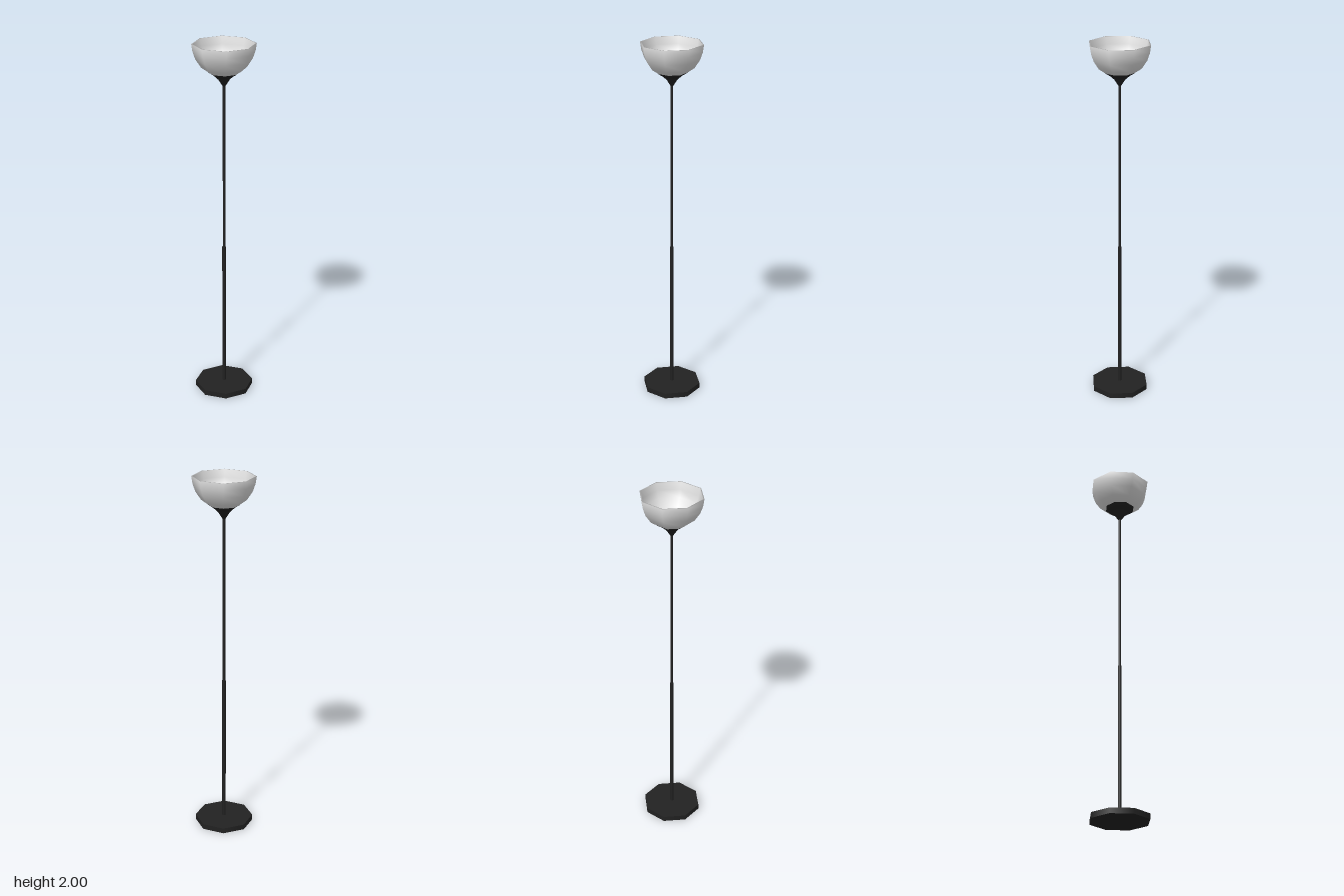
import * as THREE from 'three';

const SIDES = 8;

export function createModel() {
  const lamp = new THREE.Group();
  lamp.name = 'floorLamp';

  const black = new THREE.MeshStandardMaterial({ color: 0x222222 });
  black.name = 'black metal';
  const white = new THREE.MeshStandardMaterial({ color: 0xe0e0e0 });
  white.name = 'white glass';

  const add = (name, geometry, material, y = 0) => {
    const mesh = new THREE.Mesh(geometry, material);
    mesh.name = name;
    mesh.position.y = y;
    lamp.add(mesh);
  };
  // upright octagonal cylinder between two heights
  const rod = (name, radius, y0, y1) =>
    add(name, new THREE.CylinderGeometry(radius, radius, y1 - y0, SIDES), black, (y0 + y1) / 2);
  // octagonal turned part from [radius, height] pairs
  const turned = (name, profile, material) =>
    add(name, new THREE.LatheGeometry(profile.map(([r, y]) => new THREE.Vector2(r, y)), SIDES), material);

  // foot and two-stage pole
  rod('base', 0.162, 0, 0.03);
  rod('lowerPole', 0.01, 0.03, 0.865);
  rod('upperPole', 0.007, 0.865, 1.79);

  // flared holder under the shade
  turned('shadeHolder', [
    [0, 1.775], [0.008, 1.776], [0.03, 1.81], [0.053, 1.831], [0.083, 1.85], [0.07, 1.85],
  ], black);

  // open bowl: outside, rim, then inside down to the centre
  turned('shade', [
    [0.055, 1.838], [0.08, 1.849], [0.119, 1.876], [0.148, 1.92], [0.162, 1.96], [0.168, 2],
    [0.161, 2], [0.155, 1.96], [0.141, 1.922], [0.112, 1.882], [0.075, 1.857], [0, 1.846],
  ], white);

  return lamp;
}
